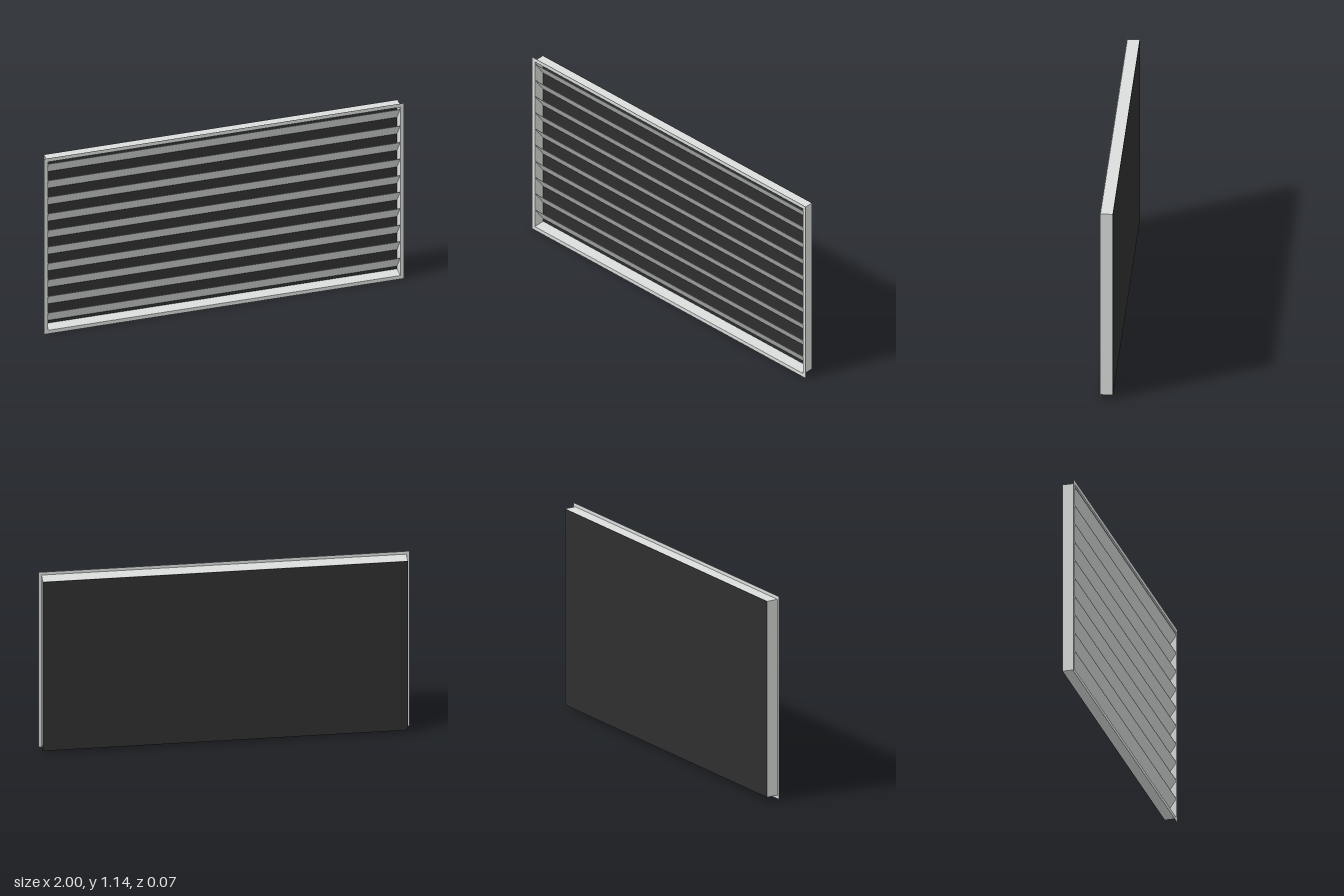
import * as THREE from 'three';

const WIDTH = 2, HEIGHT = 1.14, FRONT = 0.034, BACK = -0.034;

// Rectangular ring, centred on the grille, extruded along z
function ring(outerW, outerH, innerW, innerH, z0, z1) {
  const corners = (w, h) => [[-w, -h], [w, -h], [w, h], [-w, h]]
    .map(([x, y]) => new THREE.Vector2(x / 2, y / 2));
  const shape = new THREE.Shape(corners(outerW, outerH));
  shape.holes.push(new THREE.Path(corners(innerW, innerH).reverse()));
  const geometry = new THREE.ExtrudeGeometry(shape, { depth: z1 - z0, bevelEnabled: false });
  return geometry.translate(0, HEIGHT / 2, z0);
}

export function createModel() {
  const group = new THREE.Group();
  group.name = 'louvreGrille';

  const material = (name, color) => {
    const m = new THREE.MeshStandardMaterial({ color });
    m.name = name;
    return m;
  };
  const metal = material('light grey metal', 0xdadddb);
  const dark = material('dark backing', 0x2f2f2f);

  const add = (name, geometry, mat, parent = group) => {
    const mesh = new THREE.Mesh(geometry, mat);
    mesh.name = name;
    parent.add(mesh);
    return mesh;
  };

  // Thin front flange and the shallow duct collar behind it
  add('flange', ring(WIDTH, HEIGHT, 1.958, 1.094, FRONT - 0.001, FRONT), metal);
  add('collar', ring(1.966, 1.102, 1.958, 1.094, BACK + 0.002, FRONT - 0.001), metal);

  // Dark panel closing the back
  add('backPanel', new THREE.BoxGeometry(1.966, 1.102, 0.002), dark)
    .position.set(0, HEIGHT / 2, BACK + 0.001);

  // Ten slats, each sloping from its front top edge to its back bottom edge
  const slats = new THREE.Group();
  slats.name = 'slats';
  group.add(slats);
  const pitch = 0.1075, drop = 0.096, zFront = 0.033, zBack = -0.032, t = 0.003;
  const section = new THREE.Shape([
    new THREE.Vector2(zBack, 0), new THREE.Vector2(zFront, drop - t),
    new THREE.Vector2(zFront, drop), new THREE.Vector2(zBack, t),
  ]);
  const slat = new THREE.ExtrudeGeometry(section, { depth: 1.957, bevelEnabled: false })
    .translate(0, 0, -1.957 / 2).rotateY(-Math.PI / 2);
  for (let i = 0; i < 10; i++) {
    add('slat', slat, metal, slats).position.y = 0.041 + i * pitch;
  }

  return group;
}
